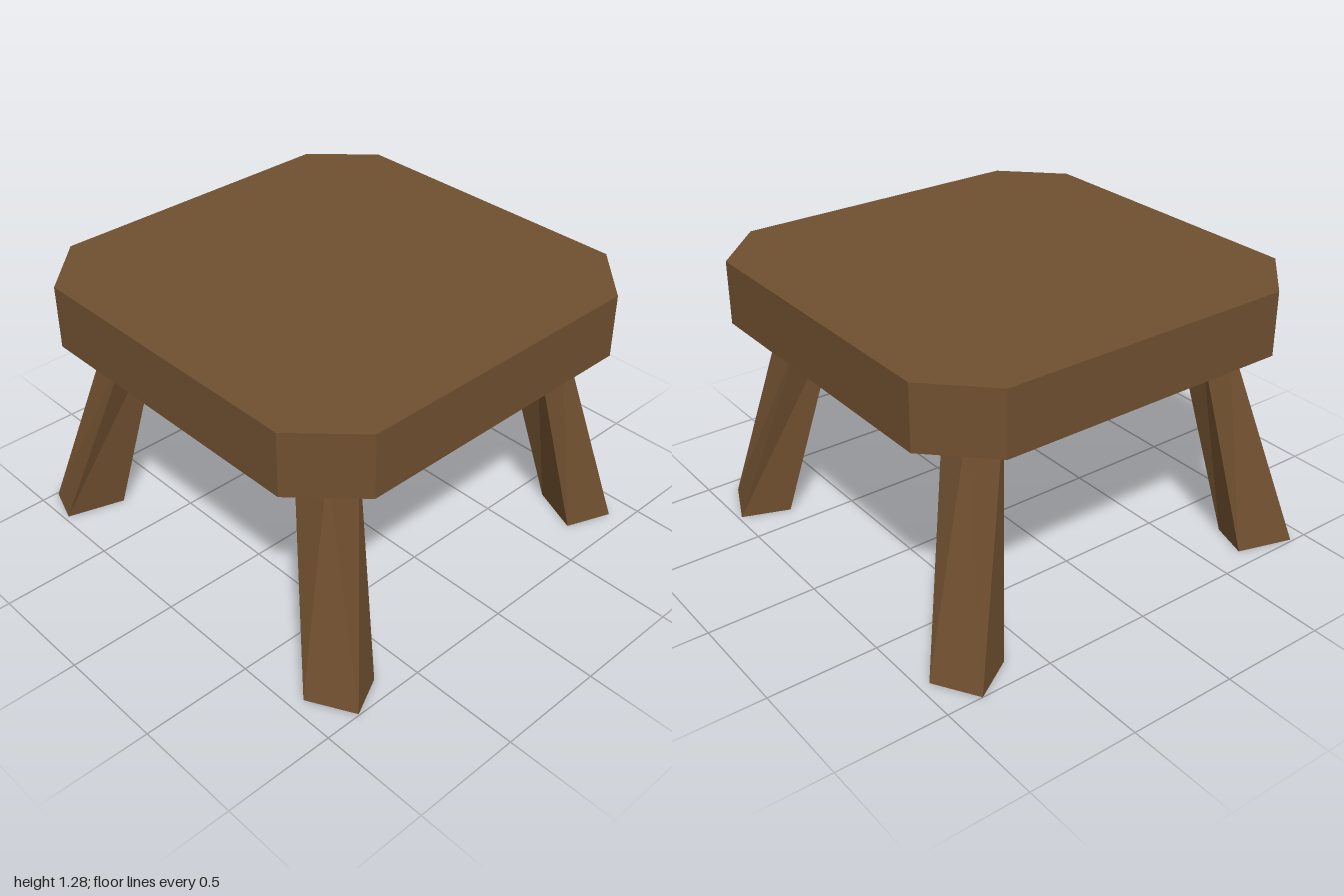
import * as THREE from 'three';

const SEAT_TOP = 1.28, SEAT_BOTTOM = 0.99;

// Splayed, slightly twisted hollow leg: a ring at the floor joined to a
// rectangle under the seat. Both run front-left, front-right, back-right, back-left.
function legGeometry(foot, x0, x1, z0, z1) {
  const top = [[x0, z1], [x1, z1], [x1, z0], [x0, z0]];
  const pos = [];
  for (let i = 0; i < 4; i++) {
    const j = (i + 1) % 4;
    const a = [foot[i][0], 0, foot[i][1]];
    const b = [foot[j][0], 0, foot[j][1]];
    const c = [top[j][0], SEAT_BOTTOM, top[j][1]];
    const d = [top[i][0], SEAT_BOTTOM, top[i][1]];
    pos.push(...a, ...b, ...c, ...a, ...c, ...d);
  }
  const g = new THREE.BufferGeometry();
  g.setAttribute('position', new THREE.Float32BufferAttribute(pos, 3));
  g.computeVertexNormals();
  return g;
}

export function createModel() {
  const group = new THREE.Group();
  group.name = 'stool';
  const wood = new THREE.MeshStandardMaterial({ color: 0x6f4f2f, side: THREE.DoubleSide });
  wood.name = 'brown wood';

  // Thick square seat with cut corners
  const outline = [
    [-0.705, 0.95], [-0.955, 0.70], [-0.955, -0.685], [-0.705, -0.935],
    [0.685, -0.935], [0.935, -0.685], [0.935, 0.70], [0.685, 0.95],
  ].map(([x, z]) => new THREE.Vector2(x, z));
  const seatGeo = new THREE.ExtrudeGeometry(new THREE.Shape(outline), {
    depth: SEAT_TOP - SEAT_BOTTOM, bevelEnabled: false,
  });
  seatGeo.rotateX(Math.PI / 2).translate(0, SEAT_TOP, 0);
  const seat = new THREE.Mesh(seatGeo, wood);
  seat.name = 'seat';
  group.add(seat);

  // Four uneven legs, open at the floor
  const legs = {
    frontLeftLeg: [[[0.79, 0.94], [0.995, 0.83], [0.905, 0.655], [0.69, 0.765]], 0.495, 0.685, 0.54, 0.705],
    frontRightLeg: [[[-0.99, 0.92], [-0.815, 0.98], [-0.735, 0.72], [-0.913, 0.665]], -0.705, -0.56, 0.54, 0.705],
    backLeftLeg: [[[0.61, -0.77], [0.84, -0.675], [0.92, -0.885], [0.69, -0.985]], 0.495, 0.685, -0.685, -0.51],
    backRightLeg: [[[-0.88, -0.64], [-0.70, -0.78], [-0.807, -0.952], [-1.0, -0.835]], -0.705, -0.55, -0.685, -0.51],
  };
  for (const [name, args] of Object.entries(legs)) {
    const leg = new THREE.Mesh(legGeometry(...args), wood);
    leg.name = name;
    group.add(leg);
  }
  return group;
}
